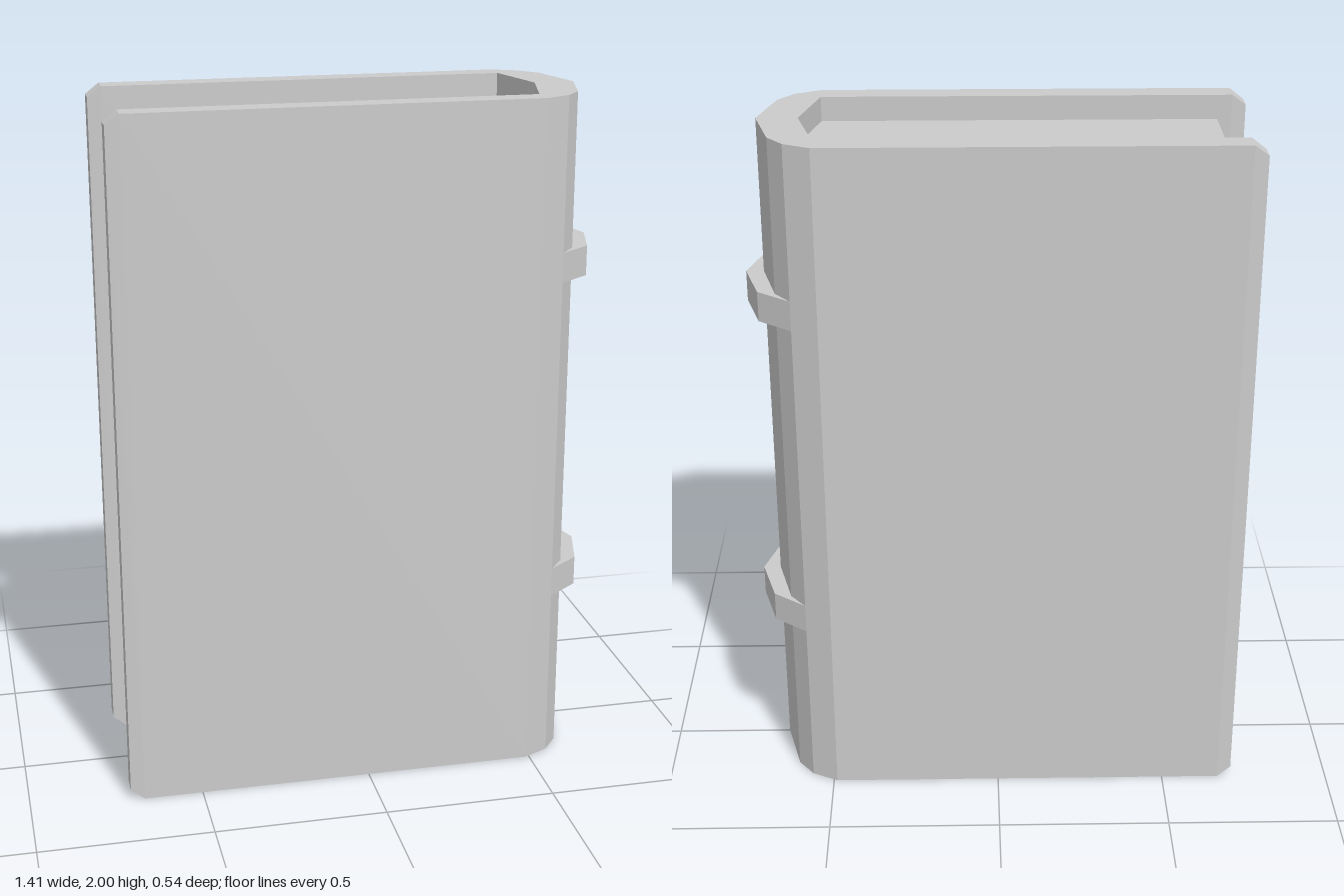
import * as THREE from 'three';

const material = new THREE.MeshStandardMaterial({ color: 0xcccccc, flatShading: true });

// Half of a wrap runs from the front edge to the spine centre; the back half mirrors it.
// Station: [outerX, outerZ, innerX, innerZ, inset of the top and bottom]
const mirrorStations = (half) => [
  ...half,
  ...half.slice(0, -1).reverse().map(([ox, oz, ix, iz, inset]) => [ox, -oz, ix, -iz, inset]),
];

// Four-cornered cross-sections joined along the wrap, with closed ends
function wrapGeometry(half, y0, y1) {
  const rings = mirrorStations(half).map(([ox, oz, ix, iz, inset = 0]) => [
    [ox, y1 - inset, oz], [ix, y1 - inset, iz], [ix, y0 + inset, iz], [ox, y0 + inset, oz],
  ]);
  const pos = [];
  const quad = (a, b, c, d) => [a, b, c, a, c, d].forEach((p) => pos.push(...p));
  for (let i = 0; i < rings.length - 1; i++) {
    for (let k = 0; k < 4; k++) {
      const n = (k + 1) % 4;
      quad(rings[i][n], rings[i][k], rings[i + 1][k], rings[i + 1][n]);
    }
  }
  quad(...rings[0]);
  quad(...rings[rings.length - 1].slice().reverse());
  const geometry = new THREE.BufferGeometry();
  geometry.setAttribute('position', new THREE.Float32BufferAttribute(pos, 3));
  geometry.computeVertexNormals();
  return geometry;
}

export function createModel() {
  const book = new THREE.Group();
  book.name = 'book';
  const add = (name, geometry) => {
    const mesh = new THREE.Mesh(geometry, material);
    mesh.name = name;
    book.add(mesh);
    return mesh;
  };

  // Front board, faceted spine and back board in one piece, corners clipped
  add('cover', wrapGeometry([
    [-0.71, 0.264, -0.71, 0.206, 0.03],
    [-0.67, 0.27, -0.67, 0.2],
    [0.49, 0.27, 0.49, 0.2],
    [0.565, 0.233, 0.505, 0.14],
    [0.61, 0.175, 0.52, 0.08],
    [0.655, 0, 0.54, 0],
  ], 0, 2));

  // Page block, set in from the top and bottom of the cover
  const outline = new THREE.Shape([
    [-0.63, -0.2], [0.49, -0.2], [0.54, 0], [0.49, 0.2], [-0.63, 0.2],
  ].map(([x, z]) => new THREE.Vector2(x, z)));
  const pages = new THREE.ExtrudeGeometry(outline, { depth: 1.86, bevelEnabled: false });
  pages.rotateX(-Math.PI / 2).translate(0, 0.07, 0);
  add('pages', pages);

  // Raised bands across the spine
  for (const [name, y] of [['lowerBand', 0.51], ['upperBand', 1.47]]) {
    add(name, wrapGeometry([
      [0.565, 0.233, 0.555, 0.22],
      [0.66, 0.16, 0.59, 0.15],
      [0.705, 0, 0.63, 0],
    ], y, y + 0.087));
  }
  return book;
}
